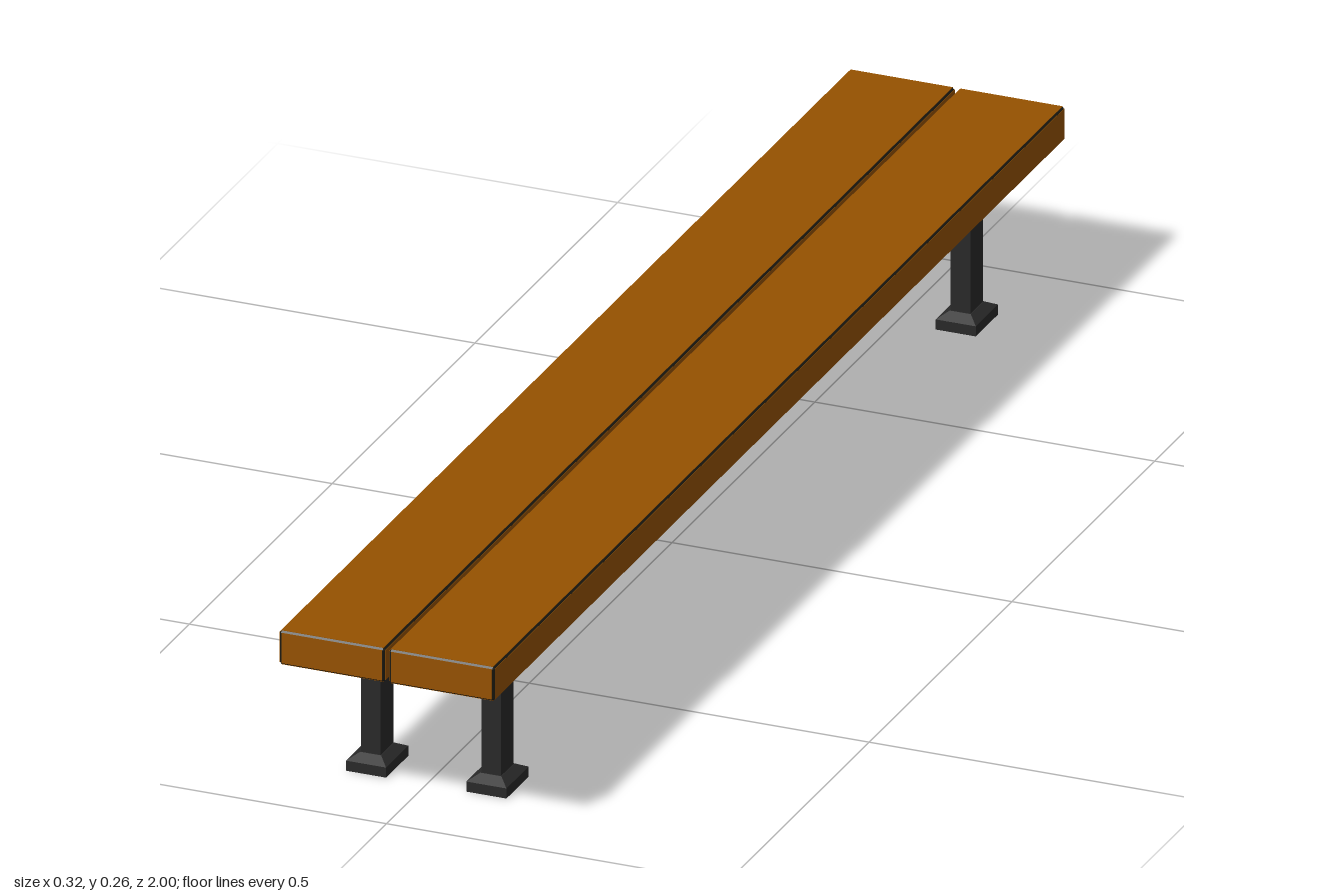
import * as THREE from 'three';
import { ConvexGeometry } from 'three/addons/geometries/ConvexGeometry.js';

// Box with every edge and corner chamfered by b
function chamferedBox(w, h, d, b) {
  const pts = [];
  for (const sx of [-1, 1]) for (const sy of [-1, 1]) for (const sz of [-1, 1]) {
    const x = w / 2, y = h / 2, z = d / 2;
    pts.push(
      new THREE.Vector3(sx * x, sy * (y - b), sz * (z - b)),
      new THREE.Vector3(sx * (x - b), sy * y, sz * (z - b)),
      new THREE.Vector3(sx * (x - b), sy * (y - b), sz * z));
  }
  return new ConvexGeometry(pts);
}

// Box whose top is narrowed to a smaller rectangle
function frustum(w, d, topW, topD, h) {
  const g = new THREE.BoxGeometry(w, h, d);
  const p = g.attributes.position;
  for (let i = 0; i < p.count; i++) {
    if (p.getY(i) > 0) {
      p.setX(i, Math.sign(p.getX(i)) * topW / 2);
      p.setZ(i, Math.sign(p.getZ(i)) * topD / 2);
    }
  }
  g.computeVertexNormals();
  return g;
}

export function createModel() {
  const wood = new THREE.MeshStandardMaterial({ color: 0x965200 });
  wood.name = 'wood';
  const edge = new THREE.MeshStandardMaterial({ color: 0x1c1a12 });
  edge.name = 'darkEdge';
  const metal = new THREE.MeshStandardMaterial({ color: 0x292929 });
  metal.name = 'darkMetal';

  const model = new THREE.Group();
  model.name = 'bench';
  const add = (parent, name, geometry, material, x = 0, y = 0, z = 0) => {
    const m = new THREE.Mesh(geometry, material);
    m.name = name;
    m.position.set(x, y, z);
    parent.add(m);
  };

  // Seat planks: dark chamfered core with a wood panel on each face
  const W = 0.156, H = 0.051, L = 2, B = 0.003, T = 0.0006;
  const core = chamferedBox(W - T, H - T, L - T, B);
  const panels = {
    plankSides: new THREE.BoxGeometry(W, H - 2 * B, L - 2 * B),
    plankTopAndBottom: new THREE.BoxGeometry(W - 2 * B, H, L - 2 * B),
    plankEnds: new THREE.BoxGeometry(W - 0.008, H - 2 * B, L),
  };
  for (const s of [-1, 1]) {
    const plank = new THREE.Group();
    plank.name = s > 0 ? 'leftPlank' : 'rightPlank';
    plank.position.set(s * 0.0807, 0.2345, 0);
    add(plank, 'plankEdges', core, edge);
    for (const name in panels) add(plank, name, panels[name], wood);
    model.add(plank);
  }

  // Four legs, each a post on a stepped foot
  const post = new THREE.BoxGeometry(0.029, 0.195, 0.044);
  const footBase = new THREE.BoxGeometry(0.059, 0.015, 0.078);
  const footTaper = frustum(0.059, 0.078, 0.031, 0.046, 0.009);
  for (const sx of [-1, 1]) for (const sz of [-1, 1]) {
    const leg = new THREE.Group();
    leg.name = (sz > 0 ? 'front' : 'back') + (sx > 0 ? 'Left' : 'Right') + 'Leg';
    leg.position.set(sx * 0.0885, 0, sz * 0.822);
    add(leg, 'post', post, metal, 0, 0.1135, 0);
    add(leg, 'footBase', footBase, metal, 0, 0.0075, 0);
    add(leg, 'footTaper', footTaper, metal, 0, 0.0195, 0);
    model.add(leg);
  }
  return model;
}
